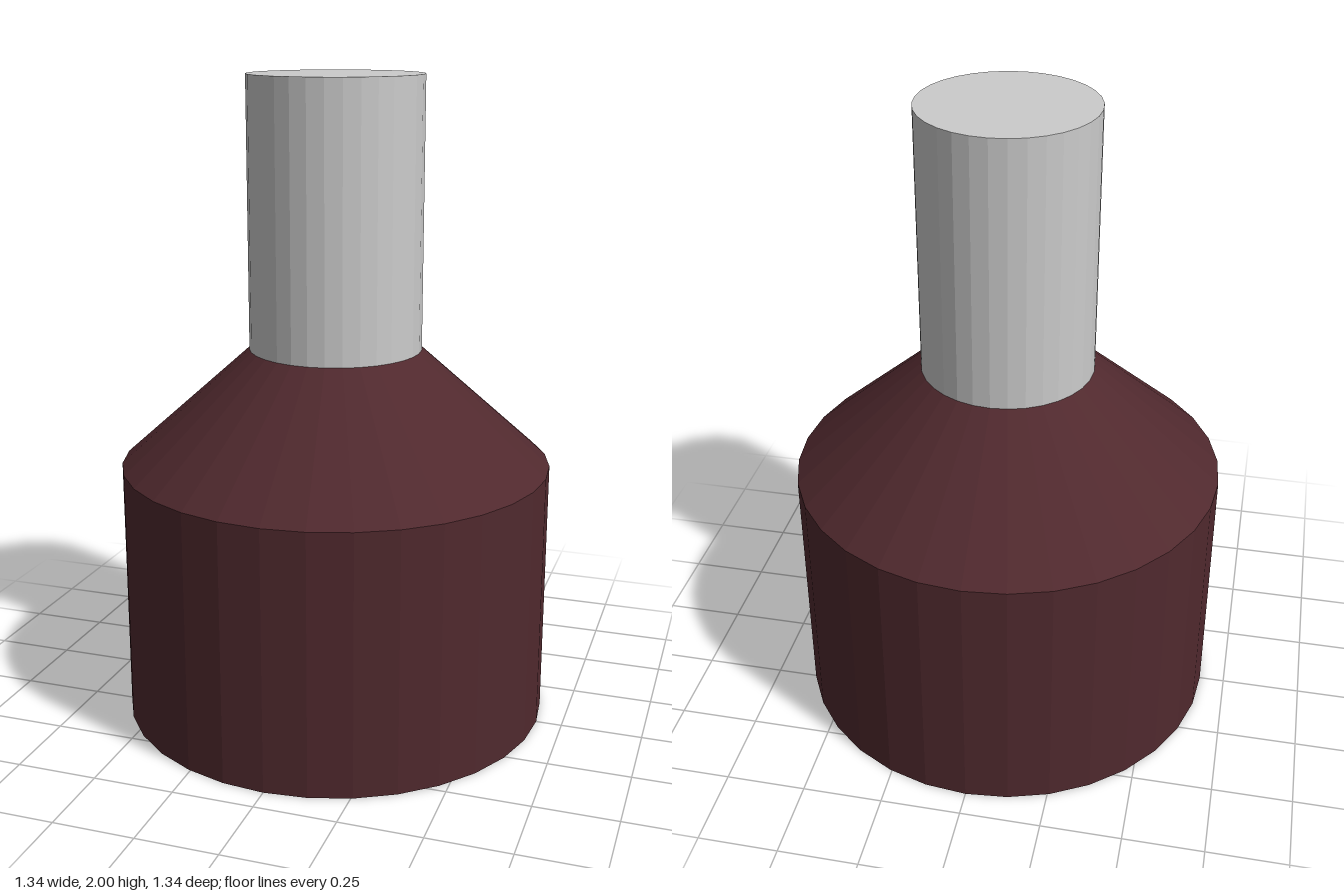
import * as THREE from 'three';

const SIDES = 32;
const BODY_RADIUS = 0.67;
const STEM_RADIUS = 0.267;
const SHOULDER_Y = 0.81;
const NECK_Y = 1.17;
const TOP_Y = 2;

export function createModel() {
  const group = new THREE.Group();
  group.name = 'steppedPlug';
  const maroon = new THREE.MeshStandardMaterial({ color: 0x50292e, flatShading: true });
  const grey = new THREE.MeshStandardMaterial({ color: 0xcccccc, flatShading: true });

  // Faceted round section standing between two heights
  const addSection = (name, bottomRadius, topRadius, y0, y1, material, open = false) => {
    const geometry = new THREE.CylinderGeometry(topRadius, bottomRadius, y1 - y0, SIDES, 1, open);
    const mesh = new THREE.Mesh(geometry, material);
    mesh.name = name;
    mesh.position.y = (y0 + y1) / 2;
    group.add(mesh);
  };

  // Wide body with a closed base
  const profile = [[0, 0], [BODY_RADIUS, 0], [BODY_RADIUS, SHOULDER_Y]];
  const body = new THREE.Mesh(
    new THREE.LatheGeometry(profile.map(([r, y]) => new THREE.Vector2(r, y)), SIDES),
    maroon
  );
  body.name = 'body';
  group.add(body);

  // Sloping shoulder and the narrow stem above it
  addSection('shoulder', BODY_RADIUS, STEM_RADIUS, SHOULDER_Y, NECK_Y, maroon, true);
  addSection('stem', STEM_RADIUS, STEM_RADIUS, NECK_Y, TOP_Y, grey);

  return group;
}
